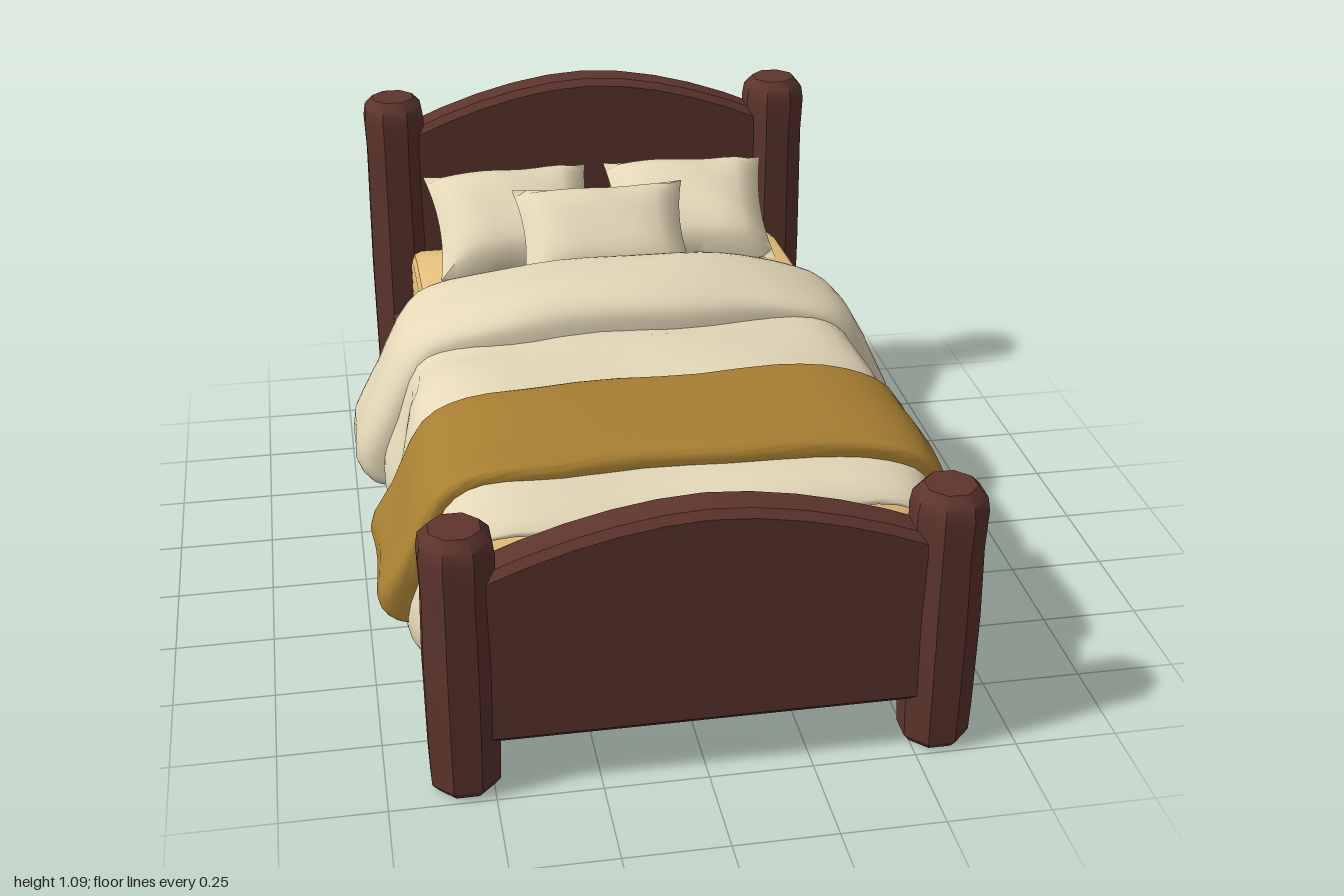
import * as THREE from 'three';
import { mergeGeometries, mergeVertices, toCreasedNormals } from 'three/addons/utils/BufferGeometryUtils.js';
import { RoundedBoxGeometry } from 'three/addons/geometries/RoundedBoxGeometry.js';

const mat = (name, color) => Object.assign(new THREE.MeshStandardMaterial({ color }), { name });

export function createModel() {
  const wood = mat('dark wood', 0x5e352d);
  const linen = mat('cream linen', 0xe4d8b8);
  const throwCloth = mat('ochre cloth', 0xa87f32);
  const sheet = mat('tan sheet', 0xf0c780);
  linen.side = throwCloth.side = THREE.DoubleSide;

  const bed = new THREE.Group();
  bed.name = 'bed';
  const add = (name, geo, material, x = 0, y = 0, z = 0) => {
    const mesh = new THREE.Mesh(geo, material);
    mesh.name = name;
    mesh.position.set(x, y, z);
    bed.add(mesh);
    return mesh;
  };

  // Chunky eight-sided posts with worn ends
  const post = (h) => {
    const pts = [[0, 0], [0.07, 0], [0.086, 0.02], [0.089, 0.1], [0.092, h * 0.5],
      [0.088, h - 0.16], [0.092, h - 0.06], [0.086, h - 0.025], [0.062, h], [0, h]];
    const geo = new THREE.LatheGeometry(pts.map(([r, y]) => new THREE.Vector2(r, y)), 8);
    geo.rotateY(Math.PI / 8);
    return toCreasedNormals(geo, 0.6);
  };
  for (const side of [-1, 1]) {
    add('headPost', post(1.055), wood, side * 0.565, 0, -0.915);
    add('footPost', post(0.69), wood, side * 0.565, 0, 0.915);
    add('sideRail', new RoundedBoxGeometry(0.07, 0.265, 1.74, 2, 0.012), wood, side * 0.567, 0.27, 0);
  }

  // Bevelled slab cut from an outline, centred on its thickness
  const slab = (points, depth, bevel, segments) => {
    const shape = new THREE.Shape(points.map(([x, y]) => new THREE.Vector2(x, y)));
    const geo = new THREE.ExtrudeGeometry(shape, {
      depth: depth - 2 * bevel, bevelThickness: bevel, bevelSize: bevel,
      bevelOffset: -bevel, bevelSegments: segments });
    geo.translate(0, 0, bevel - depth / 2);
    return geo;
  };

  // Arched end boards
  const board = (edgeY, midY) => {
    const w = 0.53, points = [[-w, 0.13], [w, 0.13]];
    for (let i = 0; i <= 10; i++) {
      const u = 1 - i / 5;
      points.push([u * w, midY - (midY - edgeY) * Math.pow(Math.abs(u), 1.8)]);
    }
    return toCreasedNormals(slab(points, 0.11, 0.018, 1), 0.5);
  };
  add('headboard', board(0.955, 1.09), wood, 0, 0, -0.92);
  add('footboard', board(0.575, 0.7), wood, 0, 0, 0.915);
  add('bedBase', new THREE.BoxGeometry(1.1, 0.05, 1.76), wood, 0, 0.275, 0);

  // Mattress: side outline, sagging at both ends, run across the bed
  const mattress = slab([[-0.85, 0.27], [0.76, 0.27], [0.76, 0.5], [0.72, 0.54], [0.3, 0.57],
    [0.05, 0.59], [-0.2, 0.63], [-0.42, 0.65], [-0.7, 0.635], [-0.81, 0.61], [-0.85, 0.57]], 1.08, 0.03, 2);
  mattress.rotateY(-Math.PI / 2);
  add('mattress', toCreasedNormals(mattress, 0.7), sheet);

  // Draped cloth: a cross-section swells out from the mattress, station by station along z
  const mirrored = (half) => new THREE.CatmullRomCurve3([
    ...half.slice(1).reverse().map(([x, y]) => new THREE.Vector3(-x, y, 0)),
    ...half.map(([x, y]) => new THREE.Vector3(x, y, 0))]).getPoints(42);
  const inner = mirrored([[0, 0.6], [0.3, 0.6], [0.47, 0.595], [0.53, 0.56],
    [0.565, 0.39], [0.57, 0.34], [0.57, 0.3], [0.57, 0.26]]);
  const drape = (half, stations, wobble, bow) => {
    const outer = mirrored(half);
    const rows = new THREE.SplineCurve(stations.map(([z, s]) => new THREE.Vector2(z, s))).getPoints(30);
    const n = outer.length, pos = [], idx = [];
    rows.forEach(({ x: z, y: s }, i) => outer.forEach((o, j) => {
      const p = inner[j].clone().lerp(o, Math.max(0, s));
      const fold = Math.sin(z * 23 + p.x * 3) + 0.7 * Math.sin(z * 11 - p.x * 9 + 1);
      const hang = Math.min(1, Math.max(0, (Math.abs(p.x) - 0.5) * 10));
      p.y += wobble * s * fold * (1 - 0.6 * hang);
      p.x += Math.sign(p.x) * wobble * s * hang * Math.sin(z * 17 + p.y * 8);
      const zz = z + bow * Math.max(0, 1 - (p.x / 0.55) ** 2) + 0.008 * Math.sin(p.x * 14 + p.y * 9);
      pos.push(p.x, p.y, zz);
      if (i && j) {
        const d = i * n + j, c = d - 1, b = d - n, a = b - 1;
        idx.push(a, c, b, b, c, d);
      }
    }));
    const geo = new THREE.BufferGeometry();
    geo.setAttribute('position', new THREE.Float32BufferAttribute(pos, 3));
    geo.setIndex(idx);
    return toCreasedNormals(geo, 0.7);
  };
  add('duvet', drape(
    [[0, 0.68], [0.3, 0.68], [0.48, 0.66], [0.58, 0.605], [0.63, 0.46], [0.668, 0.32], [0.645, 0.23], [0.57, 0.24]],
    [[-0.12, 1], [0.1, 1.1], [0.28, 1], [0.5, 1], [0.67, 0.97], [0.76, 0.75], [0.81, 0.45], [0.838, 0.15], [0.84, 0]],
    0.009, 0), linen);
  add('duvetFold', drape(
    [[0, 0.79], [0.2, 0.778], [0.35, 0.75], [0.51, 0.7], [0.6, 0.645], [0.69, 0.48], [0.755, 0.31], [0.71, 0.235], [0.57, 0.26]],
    [[-0.42, 0], [-0.42, 0.5], [-0.4, 0.8], [-0.33, 0.97], [-0.22, 1], [-0.12, 0.97], [-0.065, 0.8], [-0.05, 0.5], [-0.05, 0]],
    0.005, 0.05), linen);
  add('throwBlanket', drape(
    [[0, 0.71], [0.3, 0.708], [0.48, 0.69], [0.595, 0.635], [0.675, 0.48], [0.73, 0.36], [0.7, 0.315], [0.57, 0.33]],
    [[0.29, 0], [0.29, 0.6], [0.295, 0.9], [0.33, 1], [0.43, 1], [0.57, 1], [0.67, 1], [0.7, 0.9], [0.705, 0.6], [0.705, 0]],
    0.004, 0), throwCloth);

  // Plump pillows with pinched corners
  const pillow = (w, h, t) => {
    const half = (dir) => {
      const geo = new THREE.PlaneGeometry(2, 2, 12, 12);
      if (dir < 0) geo.rotateY(Math.PI);
      const p = geo.attributes.position;
      for (let i = 0; i < p.count; i++) {
        const u = p.getX(i), v = p.getY(i);
        const puff = Math.pow(Math.max(0, (1 - u ** 4) * (1 - v ** 4)), 0.6);
        p.setXYZ(i, w * u * (1 - 0.09 * (1 - v * v)), h * v * (1 - 0.07 * (1 - u * u)),
          dir * t * puff * (1 + 0.07 * Math.sin(u * 6 + v * 4)));
      }
      geo.deleteAttribute('normal');
      geo.deleteAttribute('uv');
      return geo;
    };
    return toCreasedNormals(mergeVertices(mergeGeometries([half(1), half(-1)])), 0.9);
  };
  const place = (name, size, [x, y, z], tilt, turn) => {
    const mesh = add(name, pillow(...size), linen, x, y, z);
    mesh.rotation.set(tilt, turn, 0, 'YXZ');
  };
  place('backPillowRight', [0.24, 0.185, 0.085], [-0.245, 0.742, -0.675], -1.03, 0.06);
  place('backPillowLeft', [0.235, 0.185, 0.085], [0.265, 0.742, -0.675], -1.03, -0.06);
  place('frontPillow', [0.245, 0.155, 0.075], [-0.012, 0.757, -0.505], -0.87, 0);

  return bed;
}
